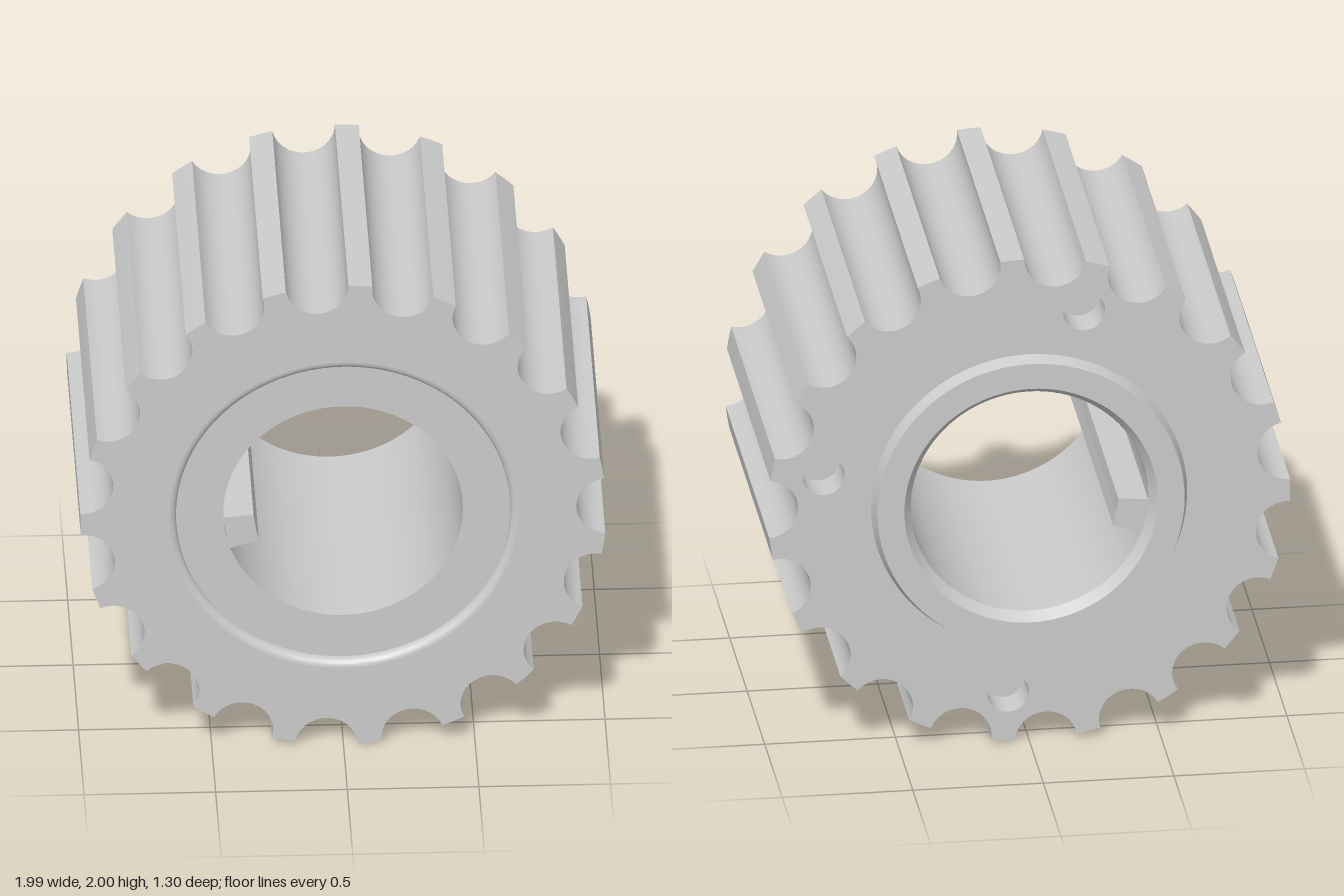
import * as THREE from 'three';
import { toCreasedNormals } from 'three/addons/utils/BufferGeometryUtils.js';

const TEETH = 19, PITCH = (Math.PI * 2) / TEETH;
const TOOTH0 = THREE.MathUtils.degToRad(86.3); // centre angle of one tooth
const FRONT = 0.65, BACK = -0.595, RIM = -0.65; // z of front face, back face, hub rim
const RECESS_R = 0.665, BOSS_R = 0.605, BORE_R = 0.455, FLOOR = 0.615;
const HOLE_R = 0.08, HOLE_RING = 0.8, HOLE_DEPTH = 0.14;

const polar = (r, a) => new THREE.Vector2(r * Math.cos(a), r * Math.sin(a));

// Outline of the toothed wheel: round grooves cut into a circle of radius 1
function gearOutline() {
  const c = 1.005, r = 0.12, steps = 14, points = [];
  const phi = Math.acos((1 + c * c - r * r) / (2 * c));
  const tMax = Math.atan2(Math.sin(phi), c - Math.cos(phi));
  const origin = new THREE.Vector2();
  for (let i = 0; i < TEETH; i++) {
    const tooth = TOOTH0 + i * PITCH;
    points.push(polar(1, tooth));
    for (let k = 0; k <= steps; k++) {
      const t = tMax * ((2 * k) / steps - 1);
      points.push(new THREE.Vector2(c - r * Math.cos(t), r * Math.sin(t)).rotateAround(origin, tooth + PITCH / 2));
    }
  }
  return points;
}

// Straight wall along a closed counter-clockwise outline, facing outward
function wall(points, z0, z1) {
  const pos = [];
  points.forEach((a, i) => {
    const b = points[(i + 1) % points.length];
    pos.push(a.x, a.y, z0, b.x, b.y, z0, b.x, b.y, z1);
    pos.push(a.x, a.y, z0, b.x, b.y, z1, a.x, a.y, z1);
  });
  const g = new THREE.BufferGeometry();
  g.setAttribute('position', new THREE.Float32BufferAttribute(pos, 3));
  return toCreasedNormals(g, 0.5);
}

// Flat outline face with round openings [x, y, radius]
function face(points, openings, z, flip) {
  const shape = new THREE.Shape(points);
  for (const [x, y, r] of openings) {
    shape.holes.push(new THREE.Path().absarc(x, y, r, 0, Math.PI * 2, true));
  }
  const g = new THREE.ShapeGeometry(shape, 48);
  if (flip) {
    g.index.array.reverse();
    g.computeVertexNormals();
  }
  return g.translate(0, 0, z);
}

export function createModel() {
  const group = new THREE.Group();
  const material = new THREE.MeshStandardMaterial({ color: 0xcccccc });
  const inner = new THREE.MeshStandardMaterial({ color: 0xcccccc, side: THREE.BackSide });
  const add = (name, geometry, mat = material) => {
    const mesh = new THREE.Mesh(geometry, mat);
    mesh.name = name;
    group.add(mesh);
  };

  // Toothed body; three blind holes sit behind every fifth tooth
  const outline = gearOutline();
  const holes = [1, -4, -9].map((k) => polar(HOLE_RING, TOOTH0 + k * PITCH));
  add('teeth', wall(outline, BACK, FRONT));
  add('frontFace', face(outline, [[0, 0, RECESS_R]], FRONT, false));
  add('backFace', face(outline, [[0, 0, BOSS_R], ...holes.map((p) => [p.x, p.y, HOLE_R])], BACK, true));

  // Blind holes in the back face
  for (const p of holes) {
    const side = new THREE.CylinderGeometry(HOLE_R, HOLE_R, HOLE_DEPTH, 96, 1, true);
    add('blindHoleWall', side.rotateX(Math.PI / 2).translate(p.x, p.y, BACK + HOLE_DEPTH / 2), inner);
    const floor = new THREE.CircleGeometry(HOLE_R, 96);
    add('blindHoleFloor', floor.rotateY(Math.PI).translate(p.x, p.y, BACK + HOLE_DEPTH));
  }

  // Hub: rounded front recess, bore, back chamfer and tapered boss
  const profile = [];
  for (let i = 0; i <= 6; i++) {
    const a = (i / 6) * Math.PI / 2;
    profile.push(new THREE.Vector2(RECESS_R - 0.03 * Math.sin(a), FRONT - 0.03 * (1 - Math.cos(a))));
  }
  for (const [r, z] of [[0.635, FLOOR], [BORE_R, FLOOR], [BORE_R, -0.605], [0.485, RIM], [0.588, RIM], [BOSS_R, BACK]]) {
    profile.push(new THREE.Vector2(r, z));
  }
  add('hub', toCreasedNormals(new THREE.LatheGeometry(profile, 96).rotateX(Math.PI / 2), 0.4));

  // Tapered key inside the bore
  const keyShape = new THREE.Shape([
    [-0.457, -0.02], [-0.432, -0.155], [-0.32, -0.12], [-0.332, -0.065], [-0.34, -0.01],
  ].map(([x, y]) => new THREE.Vector2(x, y)));
  const key = new THREE.ExtrudeGeometry(keyShape, { depth: FLOOR + 0.605, bevelEnabled: false });
  add('key', key.translate(0, 0, -0.605));

  // Stand on the ground
  group.children.forEach((mesh) => { mesh.position.y = 1; });
  return group;
}
